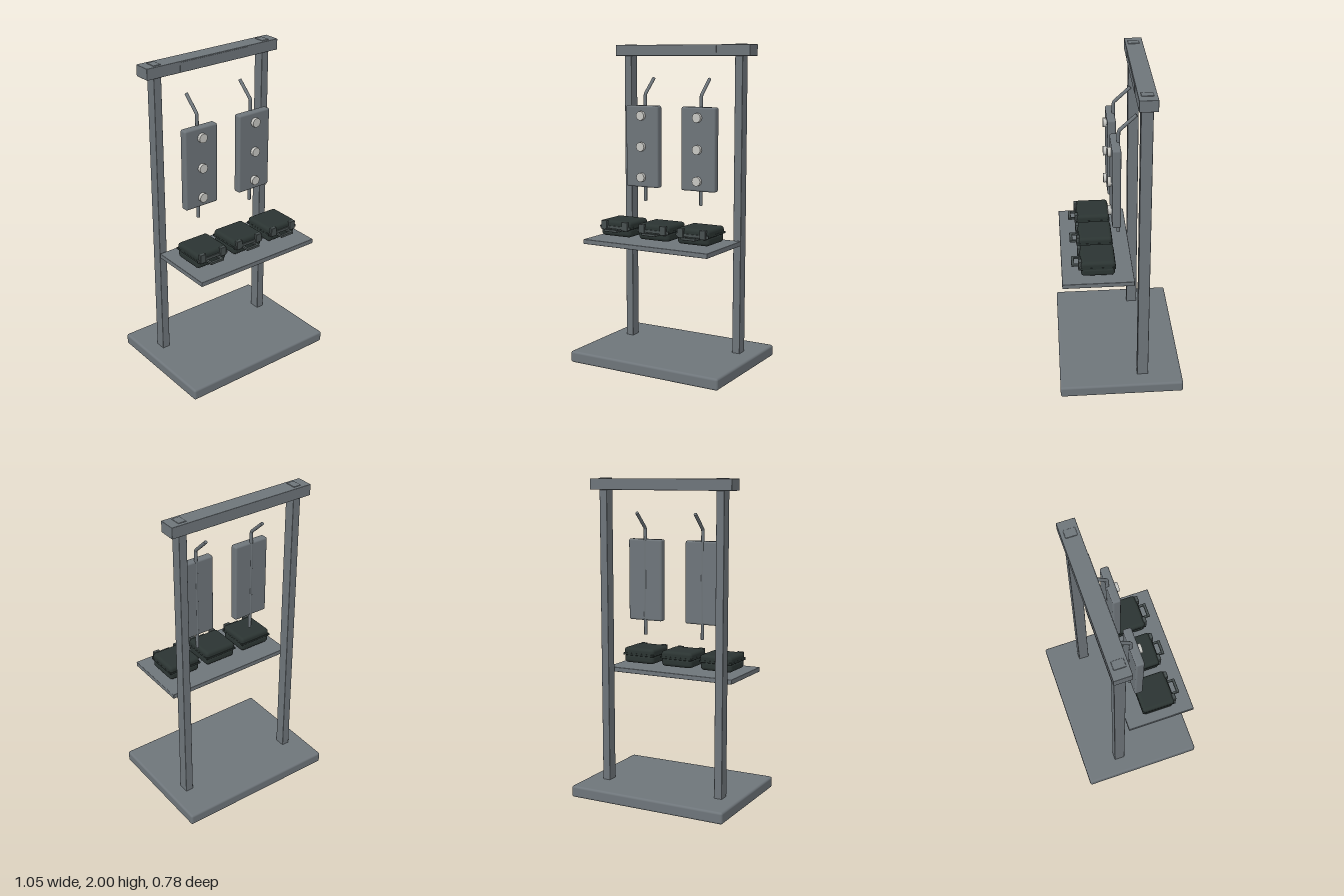
import * as THREE from 'three';
import { RoundedBoxGeometry } from 'three/addons/geometries/RoundedBoxGeometry.js';

const material = (name, color) => Object.assign(new THREE.MeshStandardMaterial({ color }), { name });

export function createModel() {
  const steel = material('steelGrey', 0x6e757a);
  const dark = material('darkGreenPlastic', 0x2b3432);
  const latchGrey = material('latchGrey', 0x474f4f);
  const silver = material('silver', 0xc6c6c2);

  const root = new THREE.Group();
  root.name = 'displayStand';

  const add = (parent, name, geometry, mat, x = 0, y = 0, z = 0) => {
    const mesh = new THREE.Mesh(geometry, mat);
    mesh.name = name;
    mesh.position.set(x, y, z);
    parent.add(mesh);
    return mesh;
  };
  // Box given by its limits on each axis; r rounds the edges
  const block = (parent, name, mat, [x0, x1], [y0, y1], [z0, z1], r = 0) => {
    const size = [x1 - x0, y1 - y0, z1 - z0];
    const geometry = r ? new RoundedBoxGeometry(...size, 3, r) : new THREE.BoxGeometry(...size);
    return add(parent, name, geometry, mat, (x0 + x1) / 2, (y0 + y1) / 2, (z0 + z1) / 2);
  };
  const group = (name, x) => {
    const g = new THREE.Group();
    g.name = name;
    g.position.x = x;
    root.add(g);
    return g;
  };

  // Frame: base, posts, top beam with front plate, shelf
  block(root, 'base', steel, [-0.527, 0.527], [0, 0.073], [-0.39, 0.388], 0.014);
  for (const s of [-1, 1]) {
    block(root, s > 0 ? 'leftPost' : 'rightPost', steel,
      [s * 0.398 - 0.026, s * 0.398 + 0.026], [0.05, 2], [-0.175, -0.105], 0.004);
  }
  block(root, 'topBeam', steel, [-0.48, 0.48], [1.927, 1.996], [-0.196, -0.088], 0.003);
  block(root, 'beamPlate', steel, [-0.253, 0.253], [1.938, 1.99], [-0.09, -0.085]);
  block(root, 'shelf', steel, [-0.439, 0.437], [0.77, 0.8], [-0.082, 0.354], 0.004);

  // Hanging panels: bent rod, plate, three knobs
  const path = new THREE.CurvePath();
  const points = [[1.015, 0], [1.69, 0], [1.787, -0.104]].map(([y, z]) => new THREE.Vector3(0, y, z));
  for (let i = 0; i < 2; i++) path.add(new THREE.LineCurve3(points[i], points[i + 1]));
  const knobGeometry = new THREE.CylinderGeometry(0.029, 0.029, 0.022, 12).rotateX(Math.PI / 2);

  for (const x of [-0.202, 0.2]) {
    const hanger = group('hangingPanel', x);
    block(hanger, 'panel', steel, [-0.118, 0.118], [1.107, 1.621], [-0.008, 0.044], 0.012);
    add(hanger, 'rod', new THREE.TubeGeometry(path, 60, 0.0105, 12), steel);
    for (const [i, p] of points.entries()) {
      if (i === 1) continue;
      const cap = add(hanger, 'rodCap', new THREE.CircleGeometry(0.0105, 12), steel, 0, p.y, p.z);
      const away = i ? points[2].clone().sub(points[1]).normalize() : new THREE.Vector3(0, -1, 0);
      cap.quaternion.setFromUnitVectors(new THREE.Vector3(0, 0, 1), away);
    }
    for (const y of [1.17, 1.363, 1.557]) add(hanger, 'knob', knobGeometry, silver, 0, y, 0.054);
  }

  // Carrying cases on the shelf
  for (const x of [-0.276, 0, 0.274]) {
    const box = group('case', x);
    block(box, 'caseBody', dark, [-0.108, 0.108], [0.813, 0.872], [0.032, 0.238], 0.022);
    block(box, 'caseLid', dark, [-0.11, 0.11], [0.855, 0.912], [0.03, 0.24], 0.02);
    block(box, 'caseRim', dark, [-0.111, 0.111], [0.865, 0.877], [0.027, 0.243]);
    block(box, 'frontRim', latchGrey, [-0.109, 0.109], [0.862, 0.879], [0.236, 0.246]);
    for (const s of [-1, 1]) {
      // Latch strips and handle arms
      block(box, 'latch', latchGrey, [s * 0.076 - 0.021, s * 0.076 + 0.021], [0.855, 0.912], [0.232, 0.254], 0.004);
      block(box, 'handleArm', latchGrey, [s * 0.041 - 0.007, s * 0.041 + 0.007], [0.852, 0.864], [0.236, 0.285]);
    }
    block(box, 'handleGrip', latchGrey, [-0.049, 0.049], [0.85, 0.866], [0.276, 0.294], 0.004);
  }

  return root;
}
